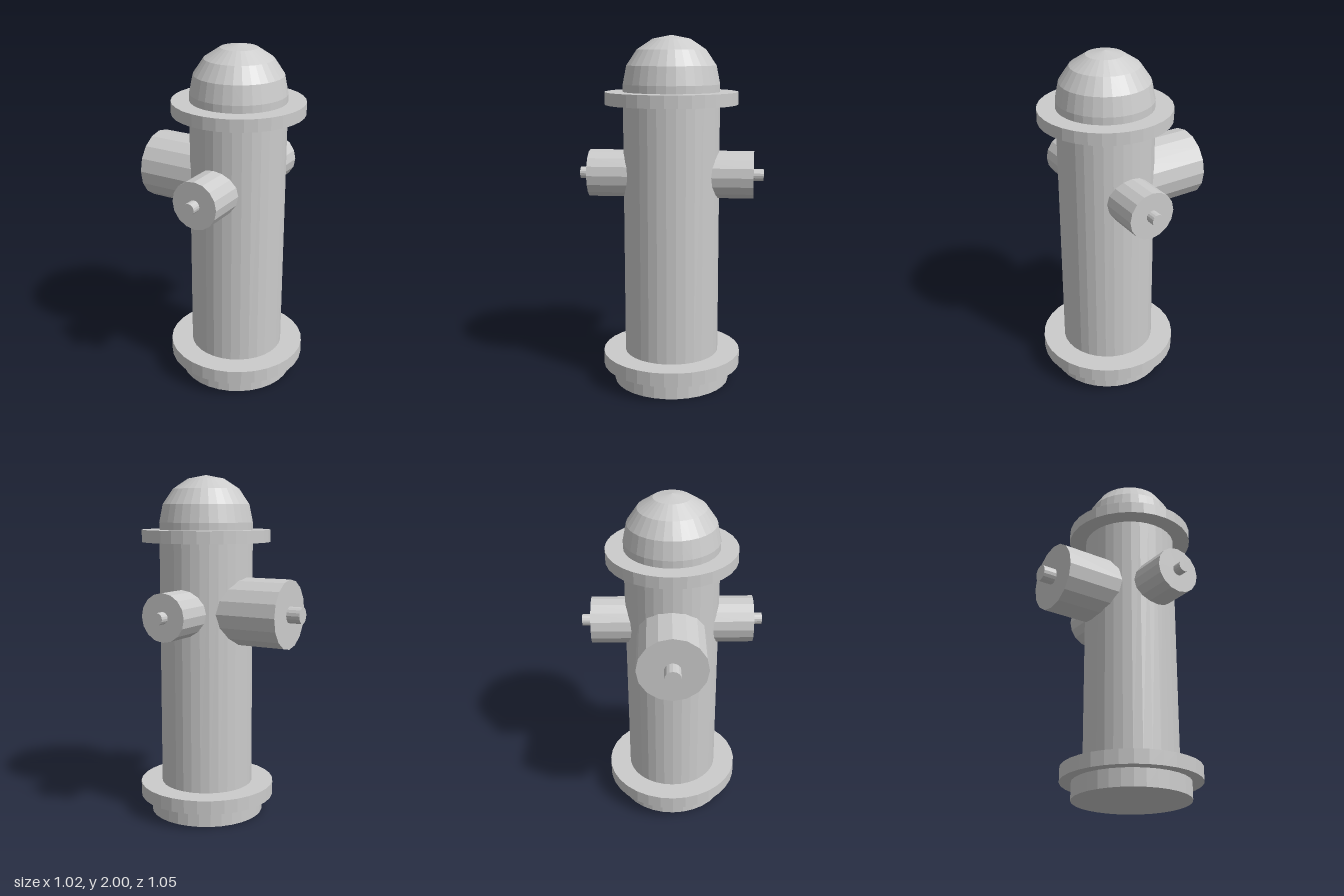
import * as THREE from 'three';

export function createModel() {
  const group = new THREE.Group();
  const material = new THREE.MeshStandardMaterial({ color: 0xcccccc, flatShading: true });
  const cx = 0.11, cz = -0.003, portY = 1.225;

  function add(name, geometry, parent = group) {
    const mesh = new THREE.Mesh(geometry, material);
    mesh.name = name;
    parent.add(mesh);
    return mesh;
  }

  // Upright cylinder between two heights
  function drum(name, radius, y0, y1, sides = 32, parent = group) {
    const geometry = new THREE.CylinderGeometry(radius, radius, y1 - y0, sides);
    geometry.translate(0, (y0 + y1) / 2, 0);
    return add(name, geometry, parent);
  }

  // Stacked body
  const stack = new THREE.Group();
  stack.name = 'body';
  stack.position.set(cx, 0, cz);
  group.add(stack);
  drum('base', 0.335, 0, 0.1, 32, stack);
  drum('bottomFlange', 0.4, 0.1, 0.18, 32, stack);
  drum('barrel', 0.272, 0.18, 1.62, 32, stack);
  drum('topFlange', 0.374, 1.62, 1.69, 32, stack);

  // Faceted dome with a short straight collar
  const domeRadius = 0.272, domeHeight = 0.268;
  const profile = [new THREE.Vector2(domeRadius, 1.69)];
  for (let i = 0; i <= 4; i++) {
    const a = (i / 4) * Math.PI / 2;
    profile.push(new THREE.Vector2(
      i === 4 ? 0 : domeRadius * Math.cos(a),
      2 - domeHeight + domeHeight * Math.sin(a)));
  }
  add('dome', new THREE.LatheGeometry(profile, 32), stack);

  // Outlet with its small nut, built along +y from the barrel axis
  function outlet(name, radius, reach, nutRadius, nutReach) {
    const port = new THREE.Group();
    port.name = name;
    drum(name + 'Cap', radius, 0.1, reach, 16, port);
    drum(name + 'Nut', nutRadius, reach, nutReach, 16, port);
    port.position.set(cx, portY, cz);
    group.add(port);
    return port;
  }

  // Two small outlets front and back, one large on the right
  for (const [name, side] of [['frontOutlet', 1], ['backOutlet', -1]]) {
    outlet(name, 0.136, 0.467, 0.034, 0.523).rotation.x = side * Math.PI / 2;
  }
  const large = outlet('sideOutlet', 0.198, 0.543, 0.047, 0.623);
  large.rotation.z = Math.PI / 2;
  large.position.z = -0.008;

  return group;
}
